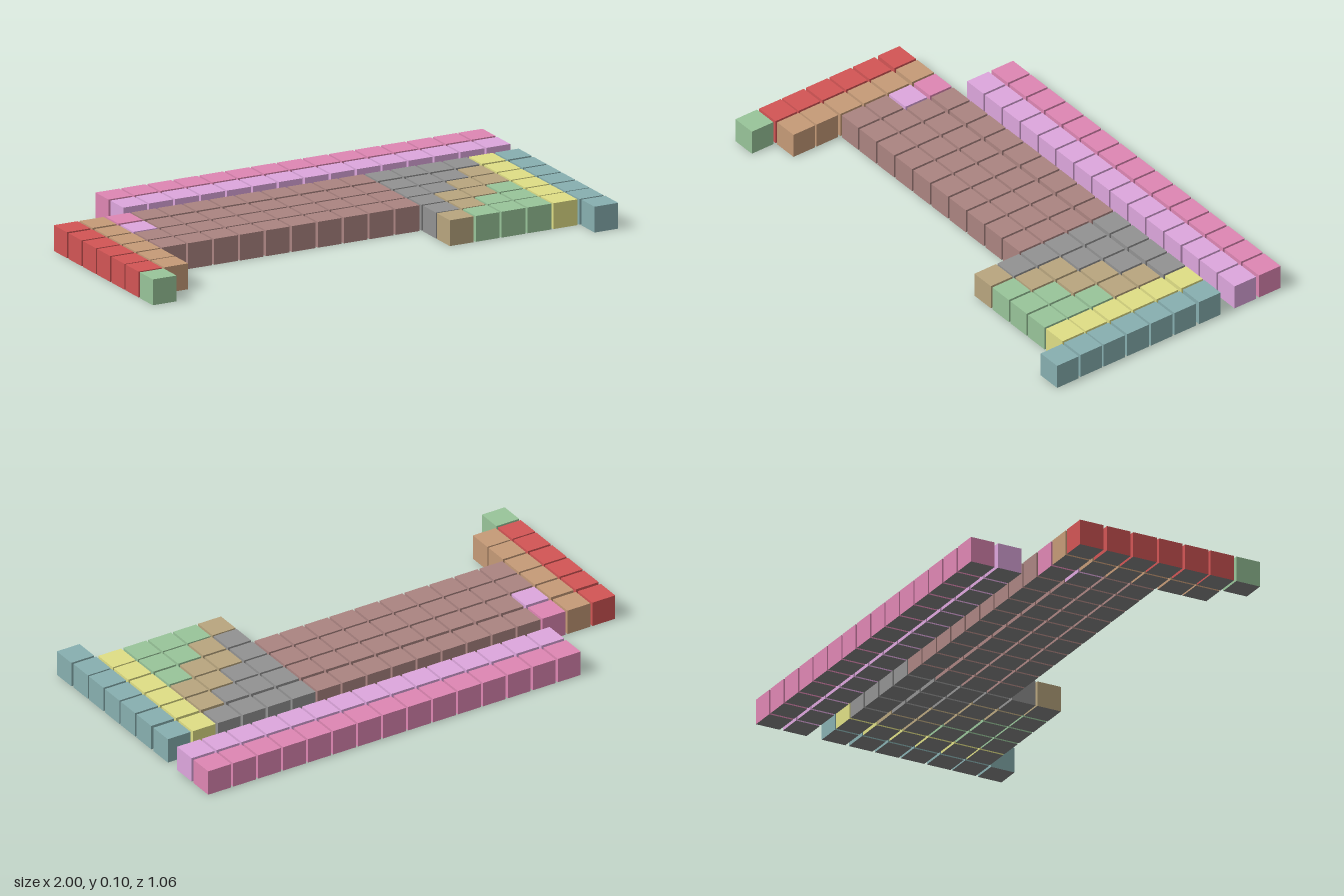
import * as THREE from 'three';

const SIZE = 0.102;
const PITCH = 0.1115;

// One letter per block colour
const COLORS = {
  R: ['red', 0xd25555], O: ['orange', 0xc59a77], P: ['pink', 0xde86b3],
  V: ['violet', 0xdda6dd], B: ['brown', 0xab8481], G: ['grey', 0x929292],
  T: ['tan', 0xb8a57e], N: ['green', 0x98c499], Y: ['yellow', 0xdfde85],
  A: ['teal', 0x87afb0],
};

// Rows from back to front: [z centre, blocks along x]
const ROWS = [
  [-0.479, '   PPPPPPPPPPPPPPP'],
  [-0.363, '   VVVVVVVVVVVVVVV'],
  [-0.1955, 'ROPBBBBBBBBBGGGGYA'],
  [-0.0785, 'ROVBBBBBBBBBGGGTYA'],
  [0.034, 'ROBBBBBBBBBBGGTTYA'],
  [0.1455, 'ROBBBBBBBBBBGTTNYA'],
  [0.258, 'RO          GTNNYA'],
  [0.367, 'RO          TNNNYA'],
  [0.4795, 'N                A'],
];

export function createModel() {
  const model = new THREE.Group();
  model.name = 'blockTable';
  const block = new THREE.BoxGeometry(SIZE, SIZE, SIZE);
  const underside = new THREE.MeshStandardMaterial({ color: 0x808080 });

  // Coloured sides and top, plain grey underside (fourth box face)
  const materials = {};
  for (const [key, [, color]] of Object.entries(COLORS)) {
    const m = new THREE.MeshStandardMaterial({ color });
    materials[key] = [m, m, m, underside, m, m];
  }

  ROWS.forEach(([z, blocks], r) => {
    const row = new THREE.Group();
    row.name = `row${r + 1}`;
    [...blocks].forEach((key, c) => {
      if (key === ' ') return;
      const mesh = new THREE.Mesh(block, materials[key]);
      mesh.name = `${COLORS[key][0]}Block`;
      // The lone front corner block sits slightly further out
      const x = r === 8 && c === 17 ? 0.949 : -0.949 + c * PITCH;
      mesh.position.set(x, SIZE / 2, z);
      row.add(mesh);
    });
    model.add(row);
  });
  return model;
}
